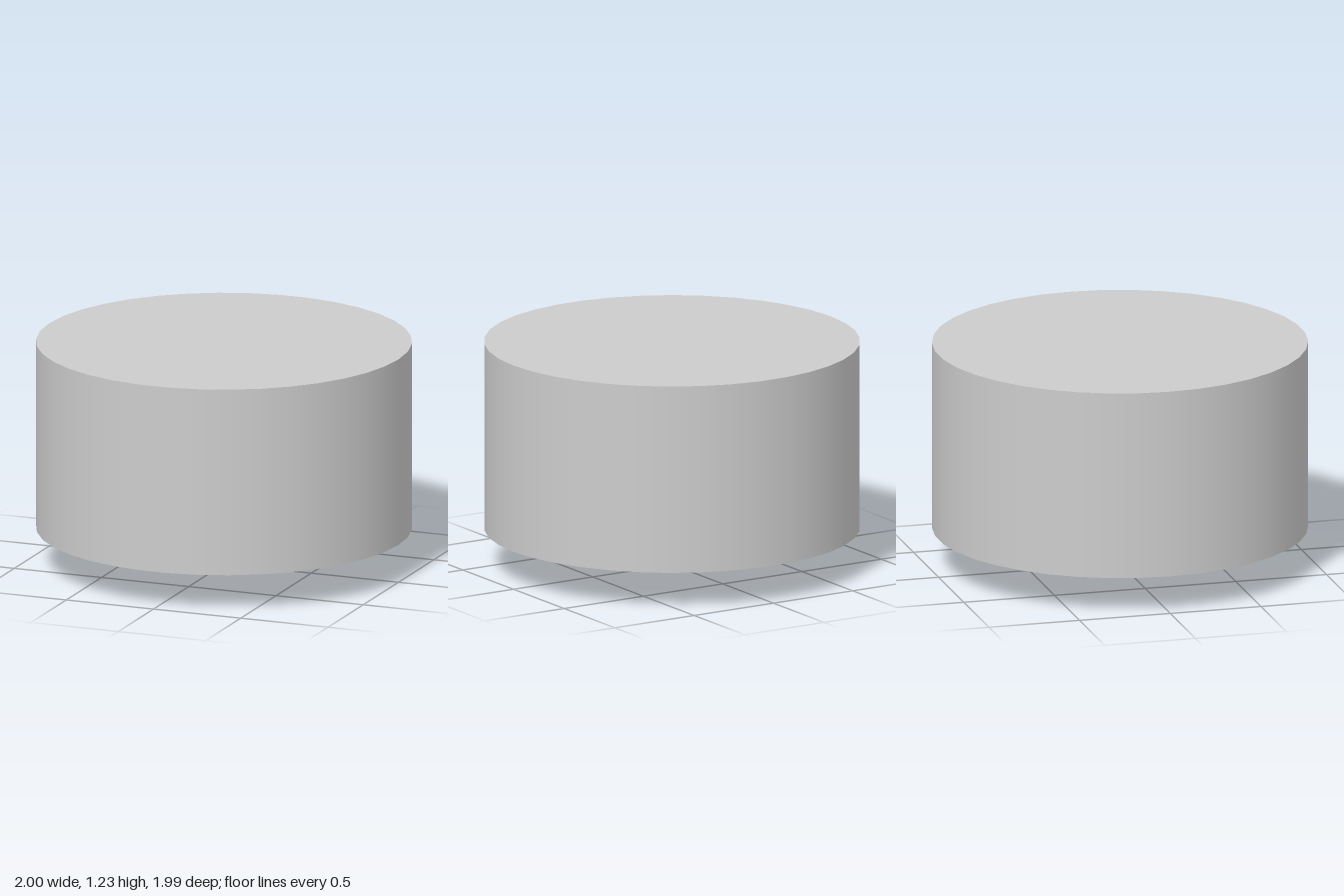
import * as THREE from 'three';

const SIDES = 38, TOP = 1.225;
// Dome: cap of a sphere bulging below the body
const DOME_R = 1.06, DOME_Y = 1.0495, RIM = 0.64;
const domeY = (x, z) => DOME_Y - Math.sqrt(DOME_R ** 2 - x * x - z * z);
const BASE = domeY(RIM, 0);
// Slot: disc-shaped pocket lying on its side, turned slightly about y
const TURN = -0.1, HALF = 0.275, CX = -0.342, CY = 0.3, R = 0.572;
const OUTER_X = CX - Math.sqrt(R ** 2 - (BASE - CY) ** 2);
const RIM_X = Math.sqrt(RIM ** 2 - HALF ** 2);

// x where the inner end of the pocket meets the dome
function slotEdge(z) {
  let x = 0.15;
  for (let i = 0; i < 12; i++) x = CX + Math.sqrt(R ** 2 - (domeY(x, z) - CY) ** 2);
  return x;
}

// Grid surface from a function of (u, v)
function patch(nu, nv, point) {
  const pos = [], index = [];
  for (let i = 0; i <= nu; i++) {
    for (let j = 0; j <= nv; j++) {
      pos.push(...point(i / nu, j / nv));
      if (i < nu && j < nv) {
        const a = i * (nv + 1) + j, b = a + nv + 1;
        index.push(a, a + 1, b, b, a + 1, b + 1);
      }
    }
  }
  const g = new THREE.BufferGeometry();
  g.setAttribute('position', new THREE.Float32BufferAttribute(pos, 3));
  g.setIndex(index);
  g.computeVertexNormals();
  return g;
}

// Part of the dome between two z values, from minX(z) to the rim
function domePatch(z0, z1, minX) {
  return patch(16, 32, (u, v) => {
    const z = THREE.MathUtils.lerp(z0, z1, u);
    const rim = Math.sqrt(Math.max(0, RIM ** 2 - z * z));
    const x = THREE.MathUtils.lerp(minX(z, rim), rim, v);
    return [x, domeY(x, z), z];
  });
}

export function createModel() {
  const model = new THREE.Group();
  const grey = new THREE.MeshStandardMaterial({ color: 0xcccccc, side: THREE.DoubleSide });
  grey.name = 'light grey';
  const add = (parent, name, geometry) => {
    const mesh = new THREE.Mesh(geometry, grey);
    mesh.name = name;
    parent.add(mesh);
    return mesh;
  };

  // Body
  add(model, 'bodySide', new THREE.CylinderGeometry(1, 1, TOP - BASE, SIDES, 1, true, Math.PI / 2)
    .translate(0, (TOP + BASE) / 2, 0));
  add(model, 'bodyTop', new THREE.CircleGeometry(1, SIDES).rotateX(-Math.PI / 2).translate(0, TOP, 0));

  const underside = new THREE.Group();
  underside.name = 'underside';
  underside.rotation.y = TURN;
  model.add(underside);

  // Flat underside with an opening for the dome and the slot
  const outline = [], opening = [];
  for (let i = 0; i < SIDES; i++) {
    const a = i / SIDES * Math.PI * 2 + TURN;
    outline.push(new THREE.Vector2(Math.cos(a), Math.sin(a)));
  }
  const sweep = Math.PI - Math.asin(HALF / RIM);
  for (let i = 0; i <= 48; i++) {
    const a = sweep * (i / 24 - 1);
    opening.push(new THREE.Vector2(RIM * Math.cos(a), RIM * Math.sin(a)));
  }
  opening.push(new THREE.Vector2(OUTER_X, HALF), new THREE.Vector2(OUTER_X, -HALF));
  const base = new THREE.Shape(outline);
  base.holes.push(new THREE.Path(opening));
  add(underside, 'bodyBottom', new THREE.ShapeGeometry(base).rotateX(Math.PI / 2).translate(0, BASE, 0));

  // Dome in three strips, the middle one cut short by the slot
  add(underside, 'domeBack', domePatch(-RIM, -HALF, (z, rim) => -rim));
  add(underside, 'domeMiddle', domePatch(-HALF, HALF, slotEdge));
  add(underside, 'domeFront', domePatch(HALF, RIM, (z, rim) => -rim));

  // Curved wall of the slot
  const start = Math.PI + Math.asin((CY - BASE) / R);
  const arcPoint = (z, v) => {
    const end = -Math.asin((CY - domeY(slotEdge(z), z)) / R);
    const a = THREE.MathUtils.lerp(start, end, v);
    return [CX + R * Math.cos(a), CY + R * Math.sin(a), z];
  };
  add(underside, 'slotCurvedWall', patch(16, 40, (u, v) => arcPoint((u * 2 - 1) * HALF, v)));

  // Flat walls of the slot, ending on the dome and the underside
  const wall = [];
  for (let i = 0; i <= 40; i++) {
    const [x, y] = arcPoint(HALF, i / 40);
    wall.push(new THREE.Vector2(x, y));
  }
  const edge = slotEdge(HALF);
  for (let i = 1; i <= 20; i++) {
    const x = THREE.MathUtils.lerp(edge, -RIM_X, i / 20);
    wall.push(new THREE.Vector2(x, domeY(x, HALF)));
  }
  for (const side of [-1, 1]) {
    add(underside, side < 0 ? 'slotBackWall' : 'slotFrontWall',
      new THREE.ShapeGeometry(new THREE.Shape(wall)).translate(0, 0, side * HALF));
  }
  return model;
}
